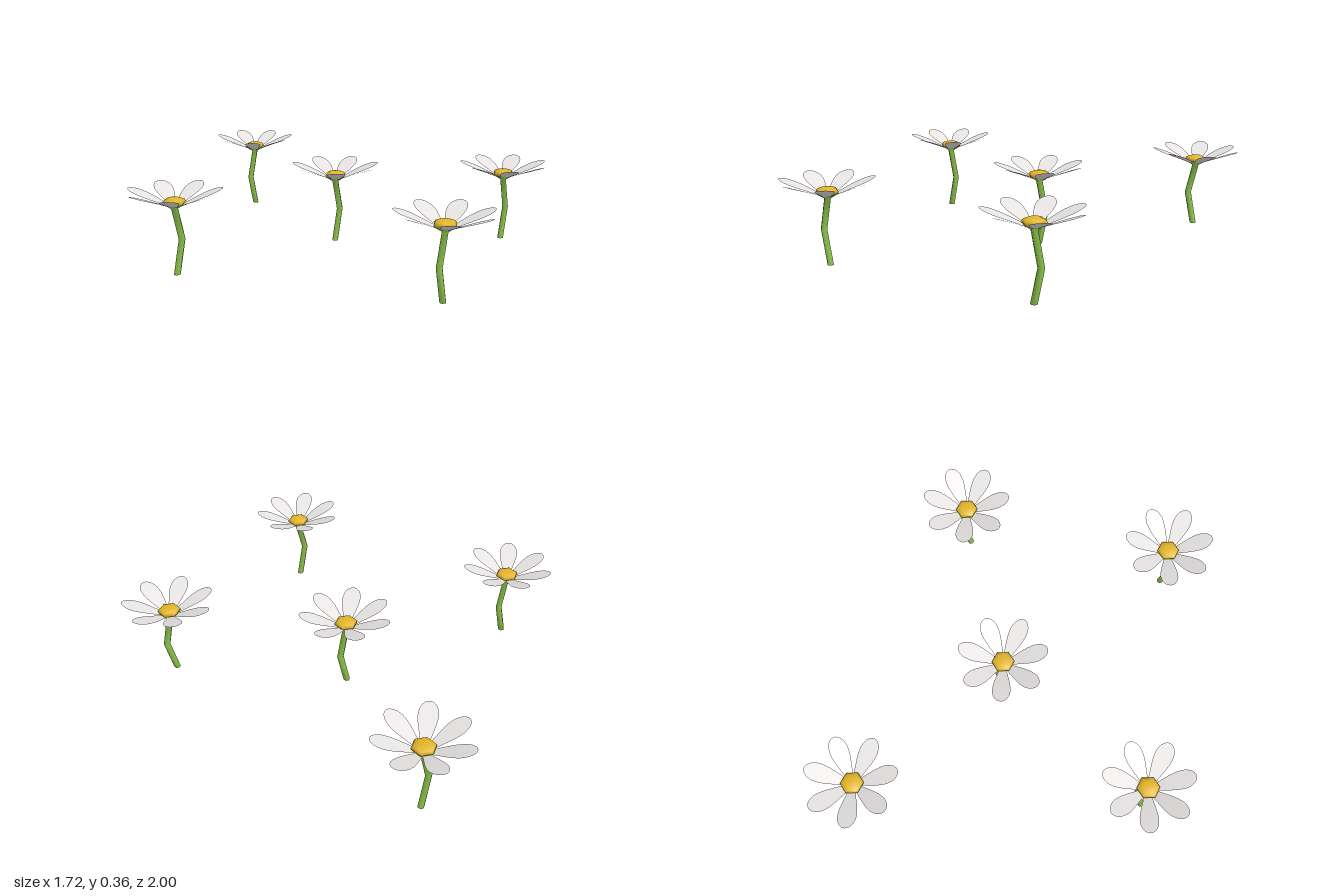
import * as THREE from 'three';
import { mergeVertices } from 'three/addons/utils/BufferGeometryUtils.js';

const green = new THREE.MeshStandardMaterial({ name: 'stem green', color: 0x8bc34a, side: THREE.DoubleSide });
const white = new THREE.MeshStandardMaterial({ name: 'petal white', color: 0xece8e8, side: THREE.DoubleSide });
const yellow = new THREE.MeshStandardMaterial({ name: 'centre yellow', color: 0xe2b428 });

const SIDES = 6, PETALS = 7, BEND_Y = 0.147;

// Six-sided stem, kinked at mid height and flaring into the calyx
function stemGeometry(bend) {
  const profile = [[0.0145, 0], [0.0145, BEND_Y], [0.0145, 0.285], [0.05, 0.308]]
    .map(([r, y]) => new THREE.Vector2(r, y));
  let geo = new THREE.LatheGeometry(profile, SIDES);
  geo.deleteAttribute('uv');
  geo.deleteAttribute('normal');
  geo = mergeVertices(geo);
  const p = geo.attributes.position;
  for (let i = 0; i < p.count; i++) {
    if (Math.abs(p.getY(i) - BEND_Y) < 0.001) p.setX(i, p.getX(i) + bend);
  }
  geo.computeVertexNormals();
  return geo;
}

// One petal along +z: narrow at the root, widest near the rounded tip, rising outwards
function petalGeometry() {
  const geo = new THREE.PlaneGeometry(1, 1, 2, 12);
  const p = geo.attributes.position;
  for (let i = 0; i < p.count; i++) {
    const t = 0.5 - p.getY(i);
    const r = 0.025 + 0.177 * Math.sin(t * Math.PI / 2);
    const half = r > 0.145
      ? 0.04 * Math.sqrt(Math.max(0, 1 - ((r - 0.145) / 0.057) ** 2))
      : 0.013 + 0.027 * THREE.MathUtils.smoothstep(r, 0.0, 0.145);
    const y = 0.294 + 0.43 * (r - 0.02) - 0.25 * (r - 0.02) ** 2;
    p.setXYZ(i, p.getX(i) * 2 * half, y, r);
  }
  geo.computeVertexNormals();
  return geo;
}

const add = (parent, name, geo, mat) => {
  const mesh = new THREE.Mesh(geo, mat);
  mesh.name = name;
  parent.add(mesh);
  return mesh;
};

export function createModel() {
  const model = new THREE.Group();
  model.name = 'daisies';

  const petalGeo = petalGeometry();
  const capGeo = new THREE.CircleGeometry(0.0145, SIDES).rotateZ(Math.PI / 2).rotateX(Math.PI / 2);
  // Flattened hexagonal dome
  const centreGeo = new THREE.SphereGeometry(0.05, SIDES, 6).rotateY(Math.PI / 6).scale(1, 0.4, 1);

  // x, z and direction of the stem's kink
  const flowers = [
    [0.445, -0.817, -1], [-0.667, -0.257, 1], [0.142, -0.042, 1],
    [0.656, 0.552, 1], [-0.27, 0.793, -1],
  ];
  for (const [x, z, dir] of flowers) {
    const flower = new THREE.Group();
    flower.name = 'flower';
    flower.position.set(x, 0, z);
    add(flower, 'stem', stemGeometry(dir * 0.035), green);
    add(flower, 'stemBase', capGeo, green);
    add(flower, 'flowerCentre', centreGeo, yellow).position.y = 0.314;
    for (let i = 0; i < PETALS; i++) {
      add(flower, 'petal', petalGeo, white).rotation.y = i * 2 * Math.PI / PETALS;
    }
    model.add(flower);
  }
  return model;
}
